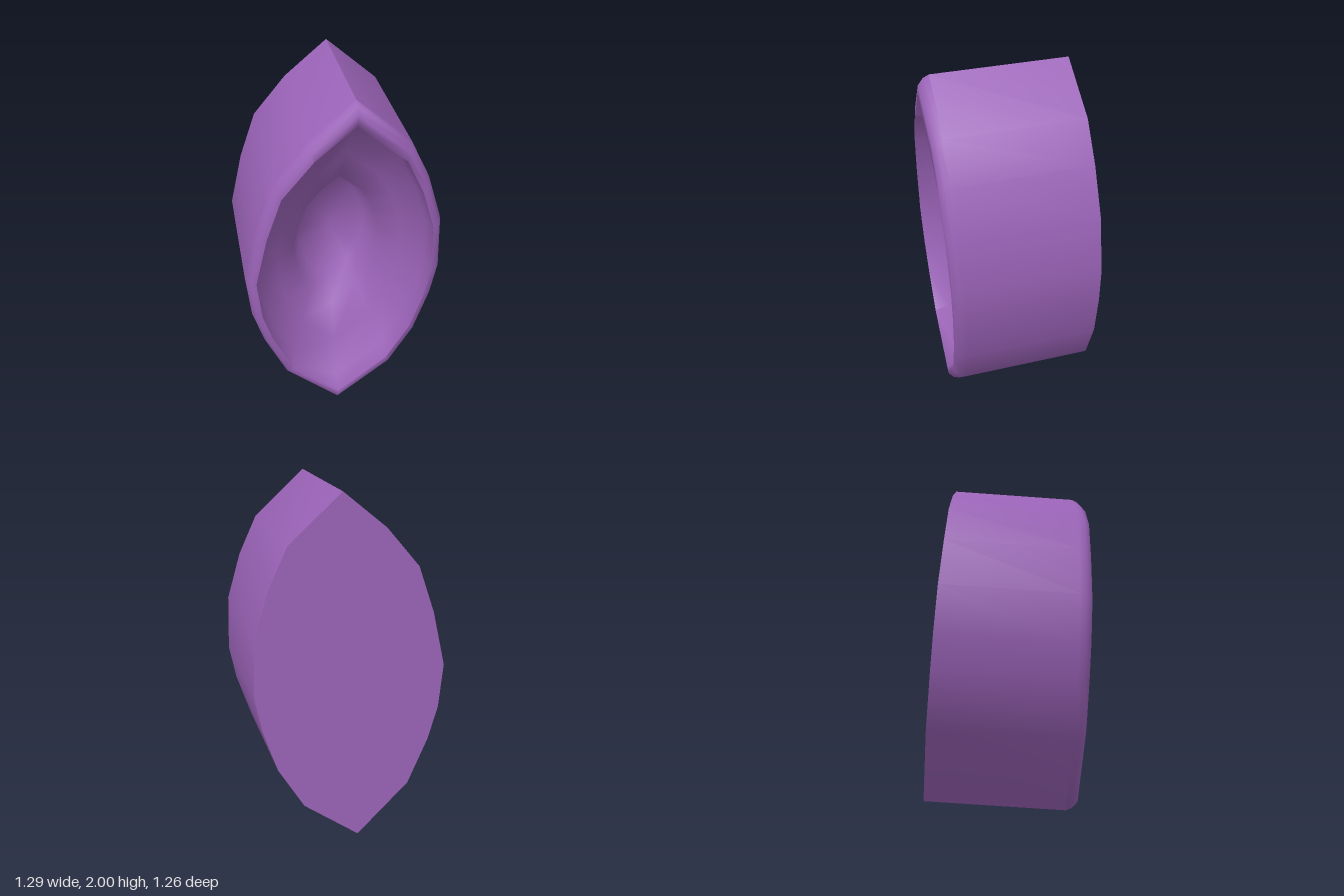
import * as THREE from 'three';
import { toCreasedNormals } from 'three/addons/utils/BufferGeometryUtils.js';

// pointed-oval outline, counter-clockwise from the top tip
const OUTLINE = [
  [0, 0.98], [-0.22, 0.78], [-0.39, 0.56], [-0.47, 0.3],
  [-0.53, -0.01], [-0.497, -0.26], [-0.435, -0.45], [-0.31, -0.71],
  [0, -0.98], [0.3, -0.715], [0.428, -0.46], [0.493, -0.205],
  [0.518, -0.01], [0.49, 0.296], [0.4, 0.544], [0.288, 0.75],
];

// rings as [outline scale, depth]: back, wall, rounded lip, recessed bowl
const RINGS = [
  [0, 0], [1, 0],
  [1, 0.725], [0.985, 0.757], [0.95, 0.785], [0.9, 0.79],
  [0.86, 0.7], [0.65, 0.6], [0.45, 0.5], [0.36, 0.34], [0, 0.3],
];

// skin neighbouring rings with quads, or a fan where a ring closes to a point
function ringSkin(outline, rings) {
  const positions = [];
  const point = ([k, z], j) => {
    const [x, y] = outline[j % outline.length];
    return [x * k, y * k, z];
  };
  for (let i = 0; i < rings.length - 1; i++) {
    for (let j = 0; j < outline.length; j++) {
      const a = point(rings[i], j), b = point(rings[i], j + 1);
      const c = point(rings[i + 1], j + 1), d = point(rings[i + 1], j);
      if (rings[i][0] > 0) positions.push(...a, ...b, ...c);
      if (rings[i + 1][0] > 0) positions.push(...a, ...c, ...d);
      else if (rings[i][0] === 0) continue;
    }
  }
  const geometry = new THREE.BufferGeometry();
  geometry.setAttribute('position', new THREE.Float32BufferAttribute(positions, 3));
  return toCreasedNormals(geometry, 1.4);
}

export function createModel() {
  const model = new THREE.Group();
  model.name = 'pointedOvalCup';

  const cup = new THREE.Mesh(
    ringSkin(OUTLINE, RINGS),
    new THREE.MeshStandardMaterial({ color: 0x9b63b8 })
  );
  cup.name = 'cup';

  // turn the opening to the front right, with a slight lean
  const front = new THREE.Vector3(-0.642, -0.055, 0.765).normalize();
  const side = new THREE.Vector3(-0.025, 0.996, 0.084).cross(front).normalize();
  const up = front.clone().cross(side);
  cup.quaternion.setFromRotationMatrix(new THREE.Matrix4().makeBasis(side, up, front));
  cup.position.set(0.245, 1.0225, -0.2775);

  model.add(cup);
  return model;
}
